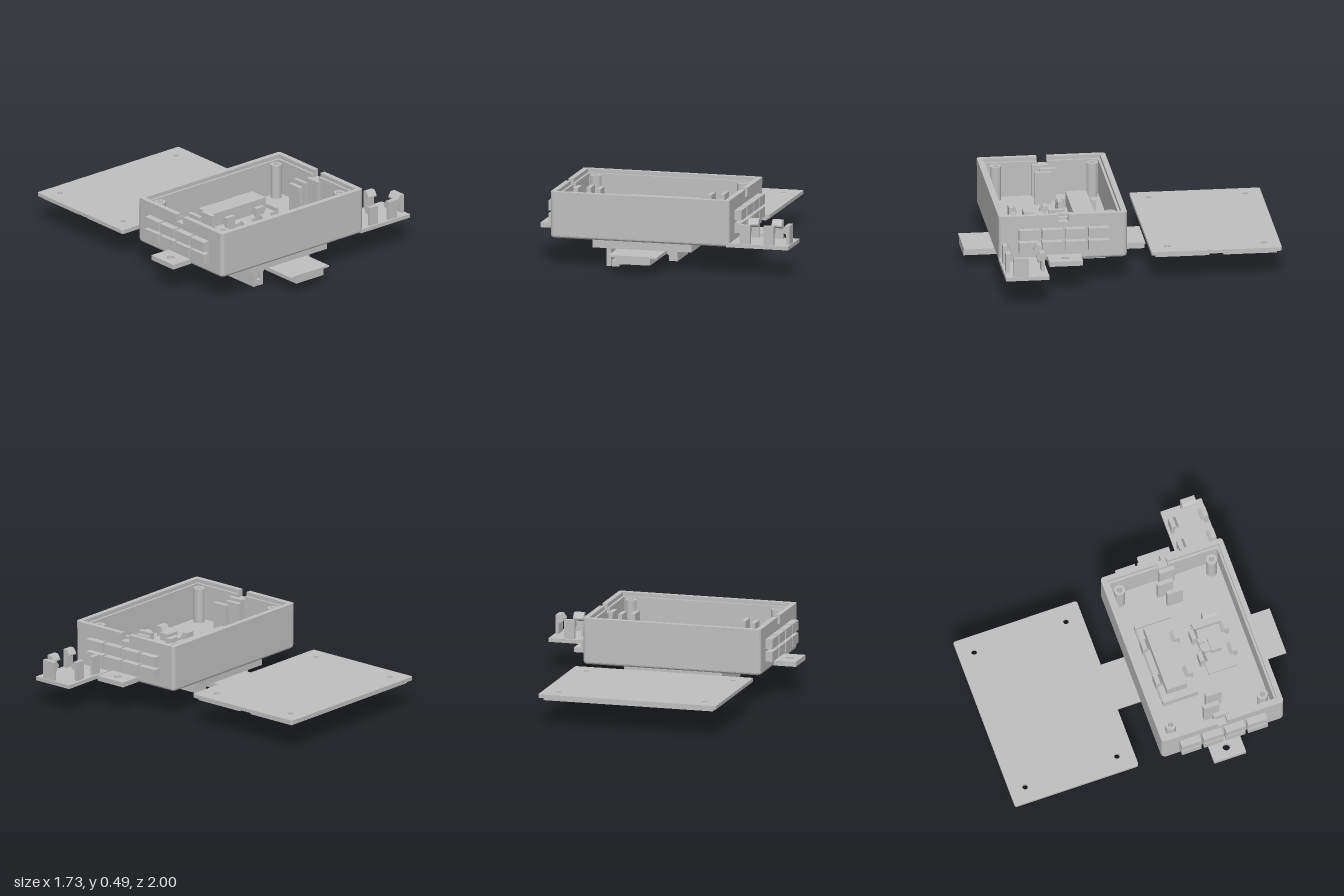
import * as THREE from 'three';

const plastic = new THREE.MeshStandardMaterial({ color: 0xc0c0c0 });
plastic.name = 'light grey plastic';

export function createModel() {
  const model = new THREE.Group();
  model.name = 'rail mount enclosure';

  const add = (name, geometry, parent = model) => {
    const mesh = new THREE.Mesh(geometry, plastic);
    mesh.name = name;
    parent.add(mesh);
    return mesh;
  };
  // box given by its limits on each axis
  const block = (name, x0, x1, y0, y1, z0, z1, parent) => {
    const g = new THREE.BoxGeometry(x1 - x0, y1 - y0, z1 - z0);
    g.translate((x0 + x1) / 2, (y0 + y1) / 2, (z0 + z1) / 2);
    return add(name, g, parent);
  };
  // rounded rectangle in plan, with shape y = -z
  const roundRect = (x0, x1, z0, z1, r, path = new THREE.Shape()) => {
    path.moveTo(x0 + r, -z1);
    path.lineTo(x1 - r, -z1);
    path.absarc(x1 - r, -z1 + r, r, -Math.PI / 2, 0);
    path.lineTo(x1, -z0 - r);
    path.absarc(x1 - r, -z0 - r, r, 0, Math.PI / 2);
    path.lineTo(x0 + r, -z0);
    path.absarc(x0 + r, -z0 - r, r, Math.PI / 2, Math.PI);
    path.lineTo(x0, -z1 + r);
    path.absarc(x0 + r, -z1 + r, r, Math.PI, Math.PI * 1.5);
    return path;
  };
  const hole = (shape, x, z, r) => shape.holes.push(new THREE.Path().absarc(x, -z, r, 0, Math.PI * 2, true));
  const slab = (name, shape, y0, y1, bevel = 0) => {
    const g = new THREE.ExtrudeGeometry(shape, {
      depth: y1 - y0 - 2 * bevel, curveSegments: 8, bevelEnabled: bevel > 0,
      bevelThickness: bevel, bevelSize: bevel, bevelOffset: -bevel, bevelSegments: 4,
    });
    g.rotateX(-Math.PI / 2).translate(0, y0 + bevel, 0);
    return add(name, g);
  };
  // side profile in x and y, run along z
  const run = (name, points, z0, z1, parent) => {
    const shape = new THREE.Shape(points.map(([x, y]) => new THREE.Vector2(x, y)));
    const g = new THREE.ExtrudeGeometry(shape, { depth: z1 - z0, bevelEnabled: false });
    return add(name, g.translate(0, 0, z0), parent);
  };

  // Case: rounded floor, then wall ring
  const X0 = -0.72, X1 = 0.47, Z0 = 0, Z1 = 0.83;
  slab('caseFloor', roundRect(X0, X1, Z0, Z1, 0.03), 0.187, 0.235, 0.018);
  const ring = roundRect(X0, X1, Z0, Z1, 0.025);
  ring.holes.push(roundRect(X0 + 0.05, X1 - 0.05, Z0 + 0.05, Z1 - 0.05, 0.015, new THREE.Path()));
  slab('caseWall', ring, 0.21, 0.44);

  // Upper wall in two halves, leaving a cable notch on each side
  const halfWall = (t, front, y0, y1) => {
    const cut = front ? 0.445 : 0.38, end = front ? Z1 : Z0, s = front ? 1 : -1, r = 0.025;
    const p = new THREE.Shape();
    p.moveTo(X0, -cut);
    p.lineTo(X0, -(end - s * r));
    p.quadraticCurveTo(X0, -end, X0 + r, -end);
    p.lineTo(X1 - r, -end);
    p.quadraticCurveTo(X1, -end, X1, -(end - s * r));
    p.lineTo(X1, -cut);
    p.lineTo(X1 - t, -cut);
    p.lineTo(X1 - t, -(end - s * t));
    p.lineTo(X0 + t, -(end - s * t));
    p.lineTo(X0 + t, -cut);
    slab(front ? 'frontUpperWall' : 'backUpperWall', p, y0, y1);
  };
  for (const front of [true, false]) {
    halfWall(0.05, front, 0.44, 0.465);
    halfWall(0.035, front, 0.465, 0.49);
  }

  // Screw posts in the corners
  const postX = [-0.615, 0.36];
  for (const x of postX) for (const z of [0.095, 0.72]) {
    const p = new THREE.Shape().absarc(x, -z, 0.036, 0, Math.PI * 2);
    hole(p, x, z, 0.017);
    slab('screwPost', p, 0.23, 0.462);
  }

  // Cable glands, mounting ears and strain relief fingers on both sides
  const mid = (X0 + X1) / 2;
  for (const side of [-1, 1]) {
    const span = (name, a, b, y0, y1, z0, z1) => {
      const p = mid + side * a, q = mid + side * b;
      return block(name, Math.min(p, q), Math.max(p, q), y0, y1, z0, z1);
    };
    for (let i = 0; i < 4; i++) {
      const z = 0.12 + i * 0.15;
      span('cableBlock', 0.58, 0.641, 0.34, 0.405, z, z + 0.133);
      span('cableBlock', 0.58, 0.641, 0.257, 0.322, z, z + 0.133);
    }
    const a = mid + side * 0.59, b = mid + side * 0.742;
    const ear = roundRect(Math.min(a, b), Math.max(a, b), 0.303, 0.52, 0.002);
    hole(ear, mid + side * 0.67, 0.41, 0.024);
    slab('mountingEar', ear, 0.19, 0.222);
    span('strainFinger', 0.355, 0.383, 0.23, 0.45, 0.375, 0.48);
    span('strainFinger', 0.43, 0.458, 0.23, 0.45, 0.335, 0.44);
    span('strainFinger', 0.505, 0.533, 0.23, 0.45, 0.375, 0.48);
  }

  // Snap clip whose hook points along +x before turning
  const clip = (x, y, z, width, turn, h = 0.125) => {
    const mesh = run('snapClip', [[0, 0], [0.022, 0], [0.022, h - 0.055], [0.05, h - 0.04],
      [0.05, h - 0.03], [0.03, h], [0, h]], -width / 2, width / 2);
    mesh.position.set(x, y, z);
    mesh.rotation.y = turn * Math.PI / 2;
  };
  const clipPairs = (xs, y, zBack, zFront, h) => {
    for (const x of xs) {
      clip(x, y, zBack, 0.068, -1, h);
      clip(x, y, zFront, 0.068, 1, h);
    }
  };

  // Outside board holder
  block('boardHolderBase', 0.45, 0.862, 0.187, 0.212, 0.55, 0.83);
  clipPairs([0.571, 0.728], 0.21, 0.568, 0.818);
  clip(0.855, 0.21, 0.73, 0.095, 2);

  // Large board and its module inside
  block('moduleBoard', -0.405, 0.155, 0.25, 0.275, 0.125, 0.355);
  block('moduleBody', -0.35, 0.1, 0.27, 0.365, 0.165, 0.3);
  for (const z of [0.12, 0.337]) block('moduleRail', -0.405, 0.155, 0.23, 0.26, z, z + 0.022);
  for (const x of [-0.405, 0.133]) block('moduleRail', x, x + 0.022, 0.23, 0.3, 0.12, 0.36);
  clipPairs([-0.25, 0], 0.23, 0.115, 0.365, 0.11);

  // Small board with components inside
  block('smallBoard', -0.305, 0.055, 0.25, 0.27, 0.465, 0.658);
  block('boardSupport', -0.28, 0.03, 0.23, 0.25, 0.48, 0.64);
  block('boardConnector', -0.18, -0.09, 0.27, 0.32, 0.53, 0.6);
  block('boardChip', -0.165, -0.105, 0.27, 0.3, 0.47, 0.53);
  block('boardChip', -0.1, -0.04, 0.27, 0.31, 0.467, 0.512);
  block('boardTerminal', 0.0, 0.05, 0.27, 0.31, 0.47, 0.65);
  clipPairs([-0.195, -0.037], 0.23, 0.435, 0.687, 0.1);
  clip(0.087, 0.23, 0.6, 0.095, 2, 0.1);

  // Rail adapter below the case with fixed hooks and spring clips
  block('railAdapter', -0.45, 0.205, 0.13, 0.188, 0.045, 0.78);
  for (const [z0, z1] of [[0.095, 0.365], [0.47, 0.732]]) {
    run('fixedHook', [[0.1, 0.131], [0.045, 0.131], [0.045, 0.118], [0.018, 0.118], [0.045, 0.09],
      [0.045, 0.058], [0.1, 0.058]], z0, z1);
    block('springOuterWall', -0.37, -0.342, 0.003, 0.131, z0, z1);
    run('springHook', [[-0.29, 0.131], [-0.312, 0.131], [-0.312, 0.042], [-0.335, 0.042], [-0.335, 0.003],
      [-0.29, 0.003], [-0.29, 0.09], [-0.266, 0.118], [-0.29, 0.118]], z0, z1);
  }

  // Mounting rail
  block('railFlange', -0.287, 0.035, 0.118, 0.13, -0.17, 1);
  block('railWeb', -0.24, -0.01, 0.075, 0.12, -0.17, 1);

  // Lid lying behind the case, with a broken rim underneath
  const lid = roundRect(X0, X1, -1, -0.158, 0.015);
  for (const x of postX) for (const z of [-0.895, -0.27]) hole(lid, x, z, 0.018);
  slab('lid', lid, 0.187, 0.21);
  const rimX0 = X0 + 0.028, rimX1 = X1 - 0.028, t = 0.014;
  for (const [z0, z1] of [[-0.972, -0.625], [-0.533, -0.186]]) {
    block('lidSideRim', rimX0, rimX0 + t, 0.167, 0.19, z0, z1);
    block('lidSideRim', rimX1 - t, rimX1, 0.167, 0.19, z0, z1);
  }
  for (const z of [-0.972, -0.186 - t]) block('lidEndRim', rimX0, rimX1, 0.167, 0.19, z, z + t);

  return model;
}
